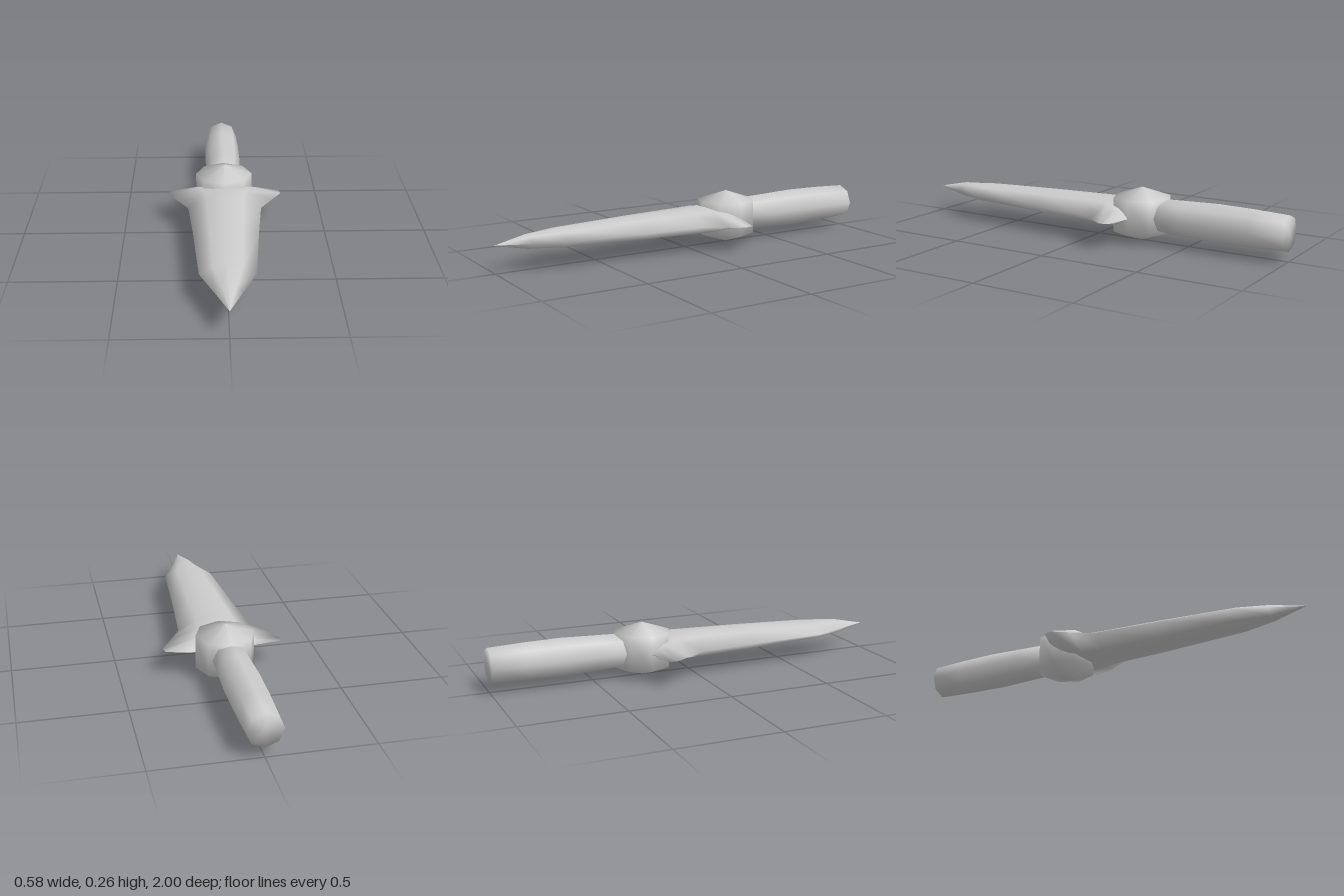
import * as THREE from 'three';

const SIDES = 8;
const MID_Y = 0.131;

// Smooth-shaded skin over 8-point rings, ordered from +z to -z and closed by centre points.
function loft(rings) {
  const pos = [], index = [];
  rings.forEach(r => r.forEach(p => pos.push(...p)));
  for (let i = 0; i < rings.length - 1; i++) {
    for (let j = 0; j < SIDES; j++) {
      const a = i * SIDES + j, b = i * SIDES + (j + 1) % SIDES;
      const c = a + SIDES, d = b + SIDES;
      index.push(a, c, b, b, c, d);
    }
  }
  const last = rings.length - 1;
  const front = pos.length / 3, back = front + 1;
  pos.push(0, 0, rings[0][0][2], 0, 0, rings[last][0][2]);
  for (let j = 0; j < SIDES; j++) {
    const k = (j + 1) % SIDES;
    index.push(front, j, k, back, last * SIDES + k, last * SIDES + j);
  }
  const geo = new THREE.BufferGeometry();
  geo.setAttribute('position', new THREE.Float32BufferAttribute(pos, 3));
  geo.setIndex(index);
  geo.computeVertexNormals();
  return geo;
}

export function createModel() {
  const group = new THREE.Group();
  const material = new THREE.MeshStandardMaterial({ color: 0xcccccc });
  const add = (name, geo, z = 0) => {
    const mesh = new THREE.Mesh(geo, material);
    mesh.name = name;
    mesh.position.set(0, MID_Y, z);
    group.add(mesh);
  };

  // Blade flaring into the guard: z, half width, shoulder x, shoulder y, ridge y
  const sections = [
    [1, 0.001, 0.0005, 0.0005, 0.001],
    [0.84, 0.064, 0.033, 0.027, 0.035],
    [0.685, 0.127, 0.065, 0.034, 0.046],
    [0.29, 0.155, 0.08, 0.045, 0.058],
    [0, 0.18, 0.09, 0.05, 0.062],
    [-0.1, 0.24, 0.1, 0.05, 0.062],
    [-0.178, 0.288, 0.13, 0.038, 0.046],
    [-0.215, 0.28, 0.14, 0.022, 0.028],
    [-0.245, 0.18, 0.09, 0.001, 0.001],
  ];
  add('bladeAndGuard', loft(sections.map(([z, w, m, s, h]) => [
    [w, 0, z], [m, s, z], [0, h, z], [-m, s, z],
    [-w, 0, z], [-m, -s, z], [0, -h, z], [m, -s, z],
  ])));

  // Faceted hub where blade and grip meet
  const hub = new THREE.LatheGeometry([
    new THREE.Vector2(0, -0.131), new THREE.Vector2(0.142, -0.083),
    new THREE.Vector2(0.142, 0.083), new THREE.Vector2(0, 0.131),
  ], SIDES);
  add('hub', hub, -0.245);

  // Slightly swollen octagonal grip
  const grip = [[-0.3, 0.082], [-0.48, 0.088], [-0.65, 0.094], [-0.83, 0.091], [-1, 0.084]];
  add('grip', loft(grip.map(([z, r]) => Array.from({ length: SIDES }, (_, j) => {
    const a = j / SIDES * Math.PI * 2;
    return [r * Math.cos(a), r * Math.sin(a), z];
  }))));

  return group;
}
